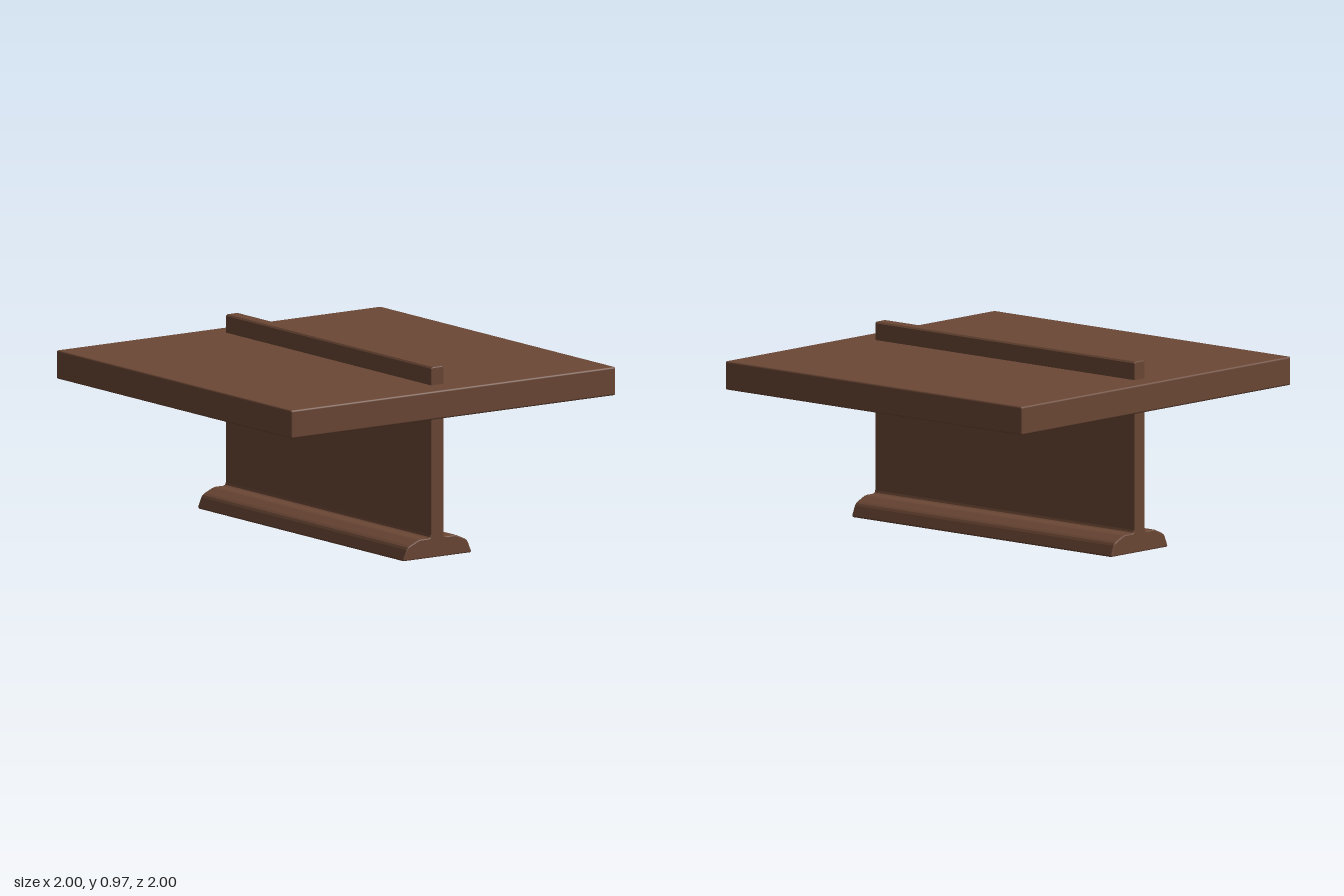
import * as THREE from 'three';
import { RoundedBoxGeometry } from 'three/addons/geometries/RoundedBoxGeometry.js';

export function createModel() {
  const model = new THREE.Group();
  model.name = 'pedestalTable';
  const wood = new THREE.MeshStandardMaterial({ color: 0x6b4735 });
  wood.name = 'brown wood';

  // square top slab with softened edges
  const top = new THREE.Mesh(new RoundedBoxGeometry(2, 0.145, 2, 2, 0.01), wood);
  top.name = 'tabletop';
  top.position.y = 0.803;
  model.add(top);

  // upright panel and flared foot, one mirrored cross-section run along z
  const half = [
    [0.205, 0], [0.21, 0.008], [0.19, 0.055], [0.182, 0.067], [0.17, 0.075],
    [0.12, 0.097], [0.105, 0.1], [0.055, 0.1], [0.044, 0.104], [0.039, 0.115],
    [0.039, 0.96], [0.031, 0.968],
  ];
  const outline = [...half, ...half.map(([x, y]) => [-x, y]).reverse()];
  const shape = new THREE.Shape(outline.map(([x, y]) => new THREE.Vector2(x, y)));
  const length = 1.75, bevel = 0.006;
  const geometry = new THREE.ExtrudeGeometry(shape, {
    depth: length - 2 * bevel,
    bevelThickness: bevel, bevelSize: bevel, bevelOffset: -bevel, bevelSegments: 2,
  });
  // the bevel offset insets only the ends, so the long sides keep the outline
  geometry.translate(0, 0, bevel - length / 2 - 0.012);
  const support = new THREE.Mesh(geometry, wood);
  support.name = 'uprightAndFoot';
  model.add(support);

  return model;
}
